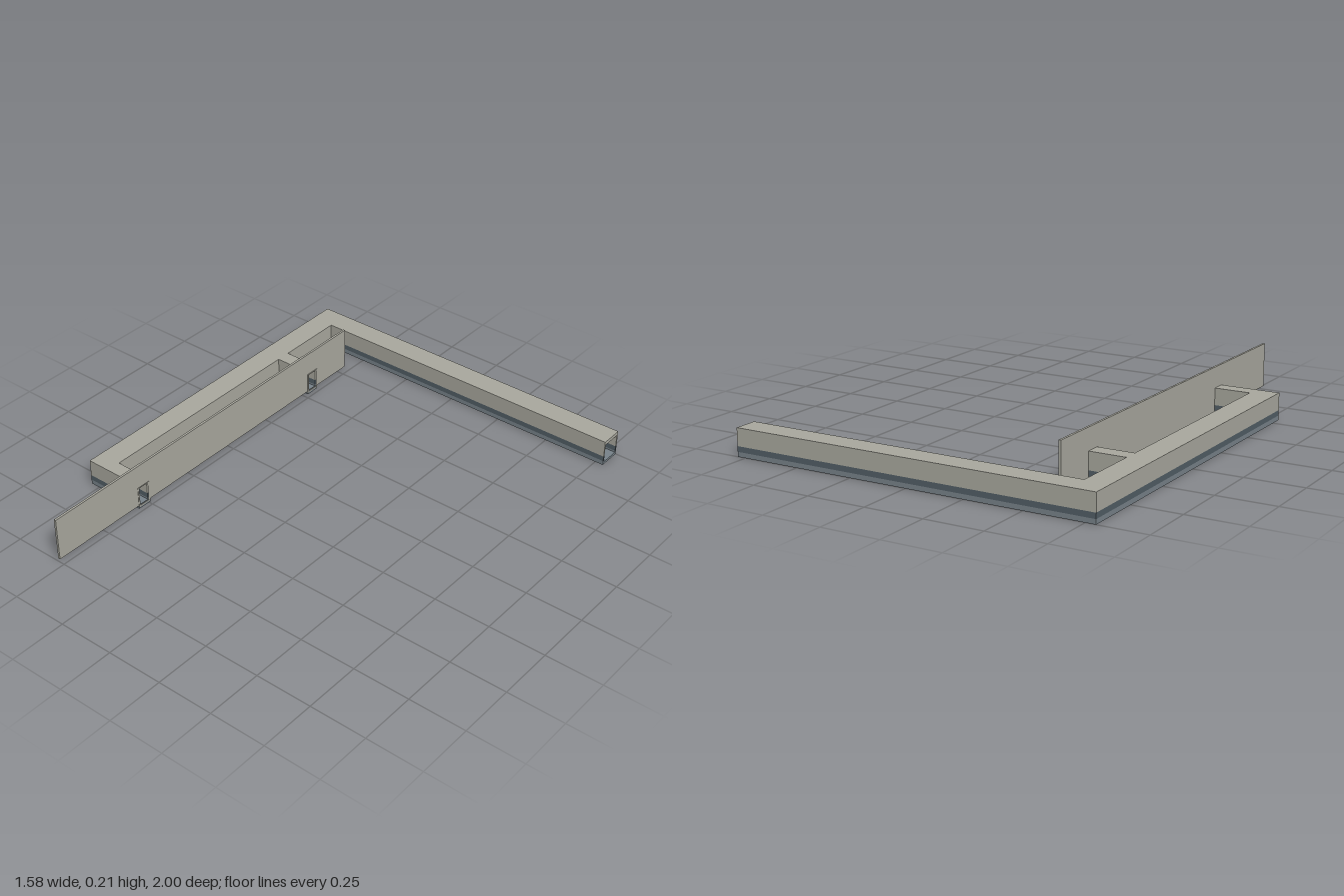
import * as THREE from 'three';

const mat = (name, hex) => {
  const m = new THREE.MeshStandardMaterial({ color: hex });
  m.name = name;
  return m;
};

const END = -0.526; // where the link passages meet the panel

export function createModel() {
  const stone = mat('warm grey', 0xaaa99f);
  const slate = mat('dark slate', 0x525e66);
  const base = mat('base slate', 0x78838a);
  const group = new THREE.Group();

  const add = (name, geo, material) => {
    const m = new THREE.Mesh(geo, material);
    m.name = name;
    group.add(m);
    return m;
  };

  // Extrude a plan outline of [x, z] points between two heights
  const prism = (name, pts, y0, y1, material) => {
    const shape = new THREE.Shape(pts.map(([x, z]) => new THREE.Vector2(x, -z)));
    const geo = new THREE.ExtrudeGeometry(shape, { depth: y1 - y0, bevelEnabled: false });
    geo.rotateX(-Math.PI / 2).translate(0, y0, 0);
    add(name, geo, material);
  };

  // Plan of the L-shaped corridor with its two link passages
  const plan = [
    [0.787, -1], [-0.793, -1], [-0.793, 0.557], [END, 0.557],
    [END, 0.493], [-0.688, 0.493], [-0.688, -0.522], [END, -0.522],
    [END, -0.587], [-0.688, -0.587], [-0.688, -0.897], [0.787, -0.897],
  ];
  prism('floor', plan, 0, 0.012, base);
  prism('roof', plan, 0.1, 0.117, stone);

  // Three wall runs, leaving the passage ends open; each has an inner offset
  const t = 0.007;
  const runs = [
    [plan.slice(0, 4), [[0.787, -1 + t], [-0.793 + t, -1 + t], [-0.793 + t, 0.557 - t], [END, 0.557 - t]]],
    [plan.slice(4, 8), [[END, 0.493 + t], [-0.688 - t, 0.493 + t], [-0.688 - t, -0.522 - t], [END, -0.522 - t]]],
    [plan.slice(8, 12), [[END, -0.587 + t], [-0.688 - t, -0.587 + t], [-0.688 - t, -0.897 - t], [0.787, -0.897 - t]]],
  ];
  for (const [outer, inner] of runs) {
    const strip = [...outer, ...inner.reverse()];
    prism('wallBase', strip, 0.012, 0.02, base);
    prism('wallBand', strip, 0.02, 0.043, slate);
    prism('wall', strip, 0.043, 0.1, stone);
  }

  // Upright rectangle in the z/y plane as a path
  const rect = (path, z0, z1, y0, y1) => {
    path.moveTo(-z0, y0);
    path.lineTo(-z1, y0);
    path.lineTo(-z1, y1);
    path.lineTo(-z0, y1);
    path.closePath();
    return path;
  };
  const upright = (name, shape, x, depth) => {
    const geo = new THREE.ExtrudeGeometry(shape, { depth, bevelEnabled: false });
    geo.rotateY(Math.PI / 2).translate(x, 0, 0);
    add(name, geo, stone);
  };

  // Long thin panel with a doorway at each link passage
  const doors = [[0.5, 0.55], [-0.58, -0.529]];
  const panel = rect(new THREE.Shape(), -0.787, 1, 0.015, 0.208);
  for (const [z0, z1] of doors) panel.holes.push(rect(new THREE.Path(), z0, z1, 0.018, 0.1));
  upright('panel', panel, -0.53, 0.01);

  // Slim frames around the doorways
  for (const [z0, z1] of doors) {
    const frame = rect(new THREE.Shape(), z0 - t, z1 + t, 0.008, 0.104);
    frame.holes.push(rect(new THREE.Path(), z0, z1, 0.014, 0.1));
    upright('doorFrame', frame, -0.524, 0.006);
  }

  // Sill under each passage end
  for (const [z0, z1] of doors) {
    const sill = new THREE.BoxGeometry(0.008, 0.012, z1 - z0 + 2 * t);
    sill.translate(-0.523, 0.006, (z0 + z1) / 2);
    add('doorSill', sill, base);
  }
  return group;
}
